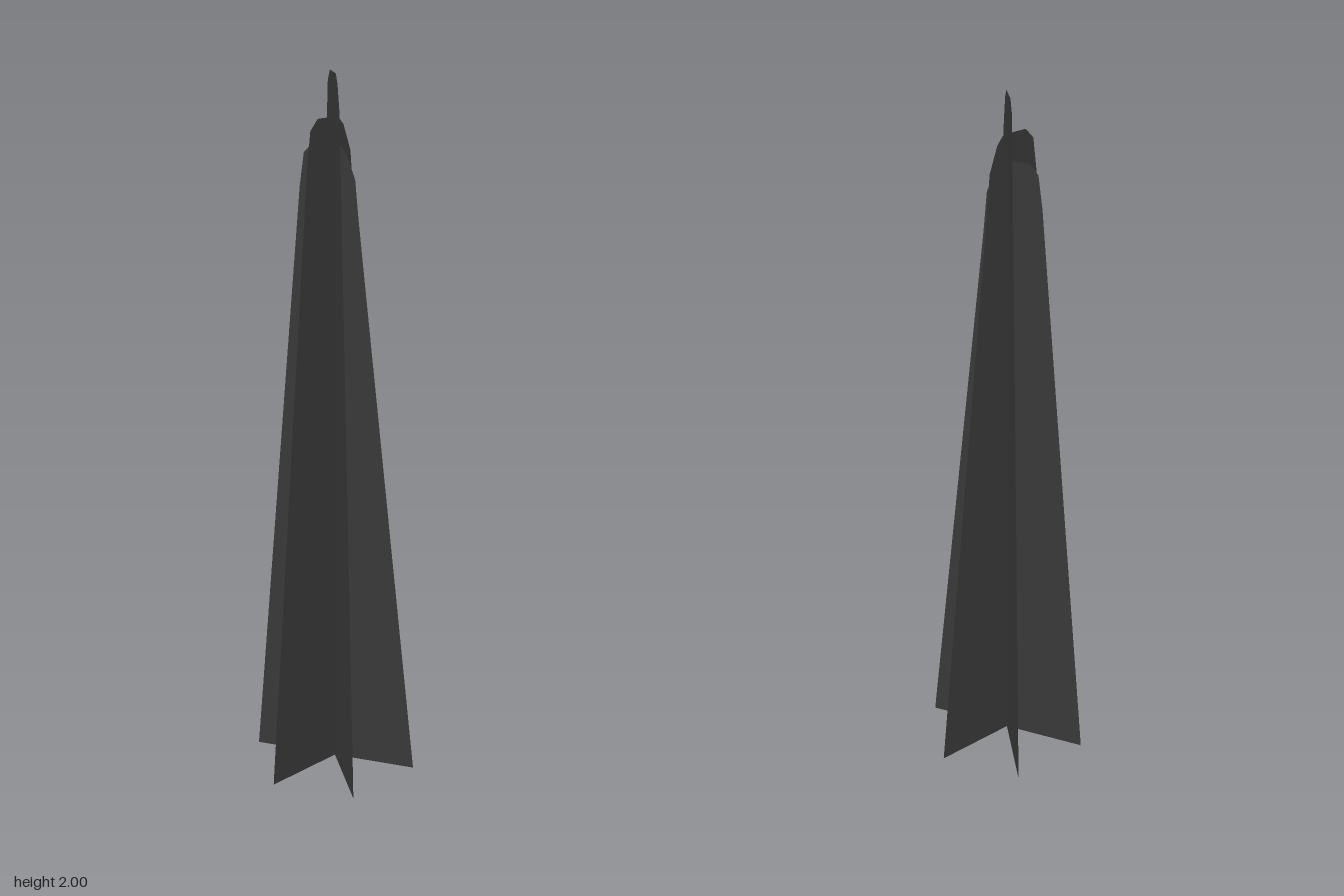
import * as THREE from 'three';

// Leaf blade outline: wide base, slightly lopsided blunt tip (height 2)
const OUTLINE = [
  [-0.24, 0], [0.24, 0],
  [0.065, 1.78], [0.055, 1.9], [0.03, 1.975], [0.01, 2],
  [-0.06, 2], [-0.085, 1.97], [-0.097, 1.87],
];

// Three crossing blades, 60 degrees apart, each with its own height
const BLADES = [
  { name: 'tallBlade', angle: -30, height: 2 },
  { name: 'shortBlade', angle: 30, height: 1.82 },
  { name: 'middleBlade', angle: 90, height: 1.89 },
];

export function createModel() {
  const group = new THREE.Group();
  group.name = 'crossedBlades';
  const material = new THREE.MeshStandardMaterial({ color: 0x383838, side: THREE.DoubleSide });

  for (const { name, angle, height } of BLADES) {
    const points = OUTLINE.map(([u, y]) => new THREE.Vector2(u, y * height / 2));
    const blade = new THREE.Mesh(new THREE.ShapeGeometry(new THREE.Shape(points)), material);
    blade.name = name;
    blade.rotation.y = THREE.MathUtils.degToRad(angle);
    group.add(blade);
  }
  return group;
}
